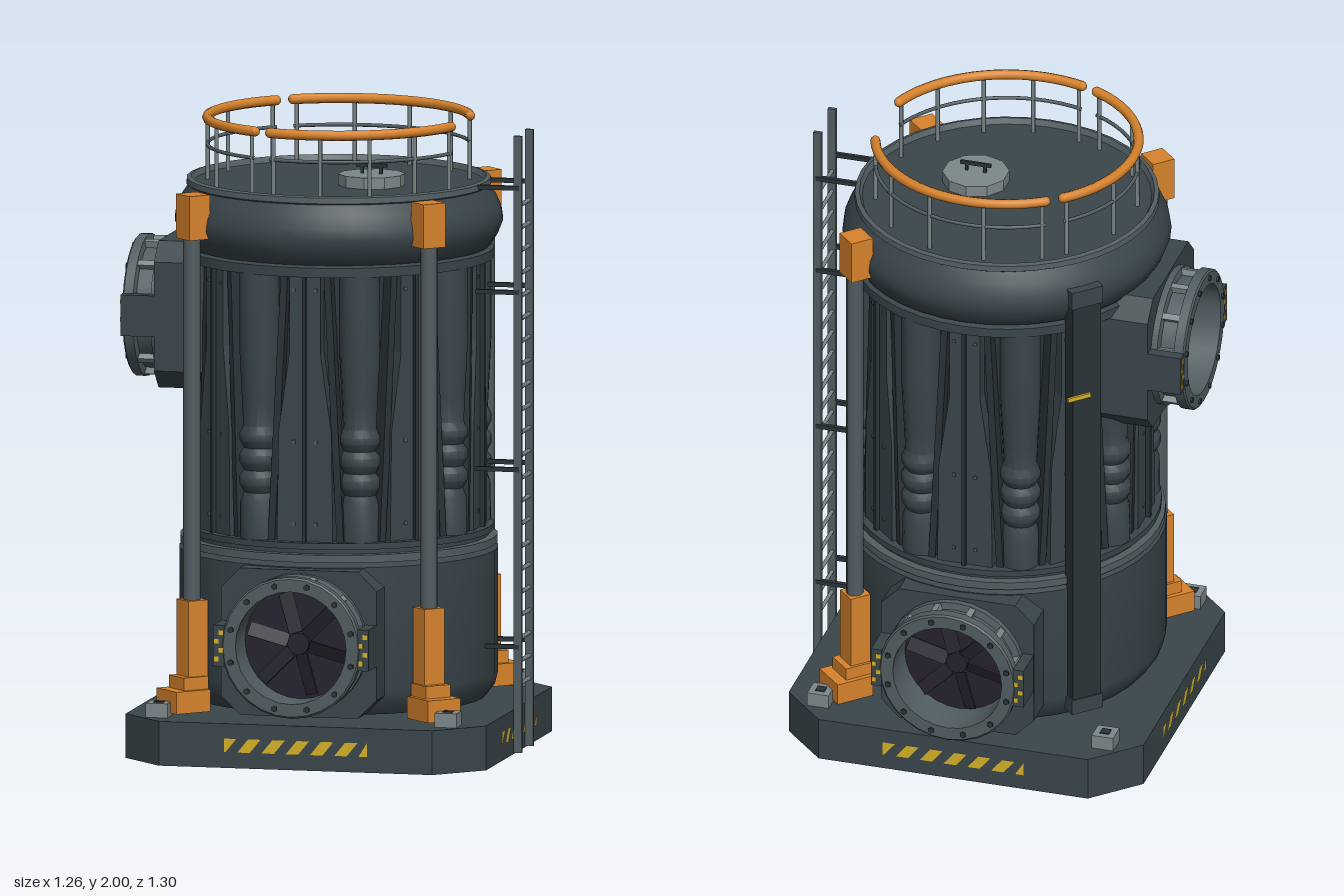
import * as THREE from 'three';
import { toCreasedNormals } from 'three/addons/utils/BufferGeometryUtils.js';

const mat = (name, color, side = THREE.FrontSide) => {
  const m = new THREE.MeshStandardMaterial({ color, side });
  m.name = name;
  return m;
};

export function createModel() {
  const steel = mat('dark steel', 0x3a464b);
  const shade = mat('recess steel', 0x2a3337);
  const trim = mat('trim steel', 0x525e62);
  const grey = mat('light grey metal', 0x7d898b);
  const orange = mat('safety orange', 0xd8832c);
  const yellow = mat('hazard yellow', 0xd6b226, THREE.DoubleSide);
  const dark = mat('port interior', 0x25222e, THREE.DoubleSide);

  const model = new THREE.Group();
  model.name = 'tower';
  const body = new THREE.Group();
  body.name = 'body';
  body.position.x = 0.02;
  model.add(body);

  // helpers
  const add = (parent, name, geo, material, x = 0, y = 0, z = 0) => {
    const m = new THREE.Mesh(geo, material);
    m.name = name;
    m.position.set(x, y, z);
    parent.add(m);
    return m;
  };
  const box = (w, h, d) => new THREE.BoxGeometry(w, h, d);
  const cyl = (r, h, n = 8) => new THREE.CylinderGeometry(r, r, h, n);
  const lathe = (pts, n) => toCreasedNormals(
    new THREE.LatheGeometry(pts.map(p => new THREE.Vector2(p[0], p[1])), n), 0.6);
  // group whose local +z points outward; angle 0 = front
  const pivot = (name, angle, y = 0) => {
    const g = new THREE.Group();
    g.name = name;
    g.rotation.y = angle;
    g.position.y = y;
    body.add(g);
    return g;
  };
  const octagon = (w, h, c) => new THREE.Shape([
    [-w + c, -h], [w - c, -h], [w, -h + c], [w, h - c],
    [w - c, h], [-w + c, h], [-w, h - c], [-w, -h + c],
  ].map(p => new THREE.Vector2(p[0], p[1])));

  // base plate
  const plate = new THREE.ExtrudeGeometry(octagon(0.58, 0.58, 0.14), { depth: 0.14, bevelEnabled: false });
  plate.rotateX(-Math.PI / 2);
  add(body, 'basePlate', plate, steel);
  for (const sx of [-1, 1]) for (const sz of [-1, 1]) {
    add(body, 'cornerStud', box(0.07, 0.045, 0.07), grey, sx * 0.465, 0.1625, sz * 0.47);
    add(body, 'studSocket', box(0.03, 0.004, 0.03), shade, sx * 0.465, 0.186, sz * 0.47);
    add(body, 'footPad', box(0.06, 0.004, 0.06), trim, sx * 0.48, 0.0, sz * 0.48).position.y = 0.001;
  }

  // hazard stripes on the four plate edges
  const stripes = [];
  const clampX = v => Math.max(-0.23, Math.min(0.23, v));
  for (let i = 0; i < 7; i++) {
    const x = -0.265 + i * 0.078;
    stripes.push(new THREE.Shape([[x, 0.05], [x + 0.04, 0.05], [x + 0.075, 0.093], [x + 0.035, 0.093]]
      .map(p => new THREE.Vector2(clampX(p[0]), p[1]))));
  }
  const stripeGeo = new THREE.ShapeGeometry(stripes);
  for (let k = 0; k < 4; k++) {
    add(pivot('hazardSide', k * Math.PI / 2), 'hazardStripes', stripeGeo, yellow, 0, 0, 0.582);
  }

  // main vessel
  add(body, 'lowerDrum', lathe([[0, 0.16], [0.46, 0.16], [0.49, 0.2], [0.5, 0.24], [0.5, 0.63],
    [0.47, 0.645], [0.47, 0.7], [0.4, 0.7]], 40), steel);
  add(body, 'lowerCollar', lathe([[0.46, 0.645], [0.497, 0.645], [0.497, 0.67], [0.46, 0.67]], 40), trim);
  add(body, 'collarLip', lathe([[0.46, 0.685], [0.485, 0.685], [0.485, 0.705], [0.4, 0.705]], 40), steel);
  add(body, 'core', lathe([[0.41, 0.69], [0.41, 1.57]], 32), shade);
  add(body, 'upperCollar', lathe([[0.4, 1.545], [0.485, 1.545], [0.485, 1.575], [0.46, 1.585]], 40), steel);
  add(body, 'cap', lathe([[0.46, 1.575], [0.475, 1.585], [0.5, 1.625], [0.515, 1.665], [0.51, 1.7],
    [0.492, 1.74], [0.468, 1.775]], 40), steel);
  add(body, 'capRim', lathe([[0.465, 1.77], [0.478, 1.778], [0.476, 1.796], [0.462, 1.8], [0.45, 1.775]], 40), trim);
  add(body, 'deck', lathe([[0.465, 1.782], [0, 1.782]], 40), steel);

  // fluted middle: ringed pipes alternating with tapered panels
  const pipeGeo = lathe([[0.062, 0.7], [0.06, 0.82], [0.05, 0.85], [0.064, 0.875], [0.064, 0.9], [0.05, 0.92],
    [0.064, 0.945], [0.064, 0.97], [0.05, 0.99], [0.064, 1.015], [0.064, 1.035], [0.052, 1.06],
    [0.056, 1.14], [0.064, 1.3], [0.064, 1.56]], 14);
  const panelGeo = new THREE.ExtrudeGeometry(new THREE.Shape([[-0.09, 0.7], [0.09, 0.7], [0.085, 1.05],
    [0.05, 1.3], [0.05, 1.55], [-0.05, 1.55], [-0.05, 1.3], [-0.085, 1.05]]
    .map(p => new THREE.Vector2(p[0], p[1]))), { depth: 0.08, bevelEnabled: false });
  const sideRib = box(0.022, 0.86, 0.09);
  for (let k = 0; k < 8; k++) {
    const a = k * Math.PI / 4;
    add(pivot('pipeBay', a + Math.PI / 8), 'ringedPipe', pipeGeo, steel, 0, 0, 0.42);
    const bay = pivot('panelBay', a);
    add(bay, 'taperedPanel', panelGeo, steel, 0, 0, 0.375);
    add(bay, 'panelSeam', box(0.012, 0.85, 0.02), shade, 0, 1.125, 0.46);
    for (const s of [-1, 1]) {
      const rib = add(bay, 'slantedRib', sideRib, shade, s * 0.09, 1.125, 0.4);
      rib.rotation.z = s * 0.05;
      for (const y of [0.76, 1.02, 1.5]) add(bay, 'panelBolt', box(0.01, 0.01, 0.006), trim, s * 0.035, y, 0.456);
    }
  }

  // large flanged ports
  const housingShape = octagon(0.25, 0.232, 0.06);
  housingShape.holes.push(new THREE.Path().absarc(0, 0, 0.185, 0, Math.PI * 2, true));
  const housingGeo = new THREE.ExtrudeGeometry(housingShape, { depth: 0.23, bevelEnabled: false, curveSegments: 16 });
  const flangeGeo = lathe([[0.215, 0.525], [0.222, 0.53], [0.222, 0.555], [0.2, 0.56], [0.2, 0.605], [0.224, 0.61],
    [0.224, 0.64], [0.218, 0.645], [0.178, 0.645], [0.178, 0.505]], 28);
  flangeGeo.rotateX(Math.PI / 2);
  const boltGeo = cyl(0.01, 0.008, 6).rotateX(Math.PI / 2);
  const port = (angle, y) => {
    const g = pivot('port', angle, y);
    add(g, 'portHousing', housingGeo, steel, 0, 0, 0.305);
    add(g, 'portFlange', flangeGeo, trim);
    add(g, 'portInterior', new THREE.CircleGeometry(0.182, 28), dark, 0, 0, 0.515);
    add(g, 'portHub', cyl(0.035, 0.03, 12).rotateX(Math.PI / 2), dark, 0, 0, 0.53);
    for (let i = 0; i < 12; i++) {
      const a = (i + 0.5) * Math.PI / 6, c = Math.cos(a), s = Math.sin(a);
      add(g, 'flangeBolt', boltGeo, shade, c * 0.2, s * 0.2, 0.647);
      add(g, 'flangeRib', box(0.022, 0.02, 0.06), grey, c * 0.208, s * 0.208, 0.58).rotation.z = a;
      if (i % 2) {
        const blade = add(g, 'fanBlade', box(0.13, 0.045, 0.005), dark, c * 0.1, s * 0.1, 0.535);
        blade.rotation.set(0.4, 0, a, 'ZXY');
      }
    }
    for (const s of [-1, 1]) {
      add(g, 'warningBracket', box(0.035, 0.13, 0.11), steel, s * 0.232, 0, 0.588);
      for (let i = 0; i < 4; i++) {
        add(g, 'warningMark', box(0.014, 0.015, 0.003), yellow,
          s * 0.232 + (i % 2 ? 0.007 : -0.007), -0.042 + i * 0.028, 0.644);
      }
    }
  };
  port(0, 0.395);
  port(Math.PI, 0.395);
  port(-Math.PI / 2, 1.37);

  // corner posts
  for (const a of [1, 3, -1]) {
    const g = pivot('cornerPost', a * Math.PI / 4);
    add(g, 'postFoot', box(0.12, 0.07, 0.125), orange, 0, 0.185, 0.57);
    add(g, 'postLowerBracket', box(0.072, 0.32, 0.07), orange, 0, 0.34, 0.538);
    add(g, 'postGusset', box(0.09, 0.06, 0.09), orange, 0, 0.23, 0.55);
    add(g, 'postRod', cyl(0.027, 1.2, 10), trim, 0, 1.07, 0.54);
    add(g, 'postUpperBracket', box(0.08, 0.14, 0.075), orange, 0, 1.71, 0.535);
  }

  // cable duct on the remaining corner
  const duct = pivot('cableDuct', -Math.PI * 0.75);
  add(duct, 'ductCover', box(0.1, 1.46, 0.05), shade, 0, 0.95, 0.505);
  add(duct, 'ductTop', box(0.11, 0.06, 0.06), steel, 0, 1.68, 0.505);
  add(duct, 'ductBase', box(0.11, 0.05, 0.06), steel, 0, 0.22, 0.505);
  add(duct, 'ductClip', box(0.08, 0.014, 0.008), yellow, -0.03, 1.33, 0.534);

  // ladder
  const ladder = pivot('ladder', Math.PI / 2);
  for (const s of [-1, 1]) {
    add(ladder, 'ladderRail', box(0.012, 1.95, 0.026), trim, s * 0.078, 0.98, 0.595);
    for (const y of [0.34, 0.9, 1.46, 1.79]) {
      add(ladder, 'ladderStandoff', box(0.014, 0.014, 0.14), shade, s * 0.08, y, 0.53);
    }
  }
  const rungGeo = cyl(0.007, 0.15, 6).rotateZ(Math.PI / 2);
  for (let i = 0; i < 22; i++) add(ladder, 'ladderRung', rungGeo, grey, 0, 0.22 + i * 0.072, 0.595);

  // deck handrail in three arcs
  const arc = (r, tube, a0, a1) => new THREE.TorusGeometry(r, tube, 8, 20, a1 - a0).rotateZ(a0).rotateX(Math.PI / 2);
  for (const [d0, d1] of [[18, 108], [116, 228], [236, 342]]) {
    const a0 = THREE.MathUtils.degToRad(d0), a1 = THREE.MathUtils.degToRad(d1);
    add(body, 'handrail', arc(0.412, 0.016, a0, a1), orange, 0, 1.984, 0);
    add(body, 'midRail', arc(0.412, 0.006, a0, a1), trim, 0, 1.9, 0);
    for (let i = 0; i < 5; i++) {
      const a = a0 + 0.03 + (a1 - a0 - 0.06) * i / 4;
      add(body, 'railPost', cyl(0.007, 0.2, 6), grey, Math.cos(a) * 0.412, 1.88, Math.sin(a) * 0.412);
    }
    for (const a of [a0, a1]) {
      add(body, 'handrailEnd', new THREE.SphereGeometry(0.0158, 8, 6), orange, Math.cos(a) * 0.412, 1.984, Math.sin(a) * 0.412);
    }
  }

  // deck hatch
  const hatch = new THREE.Group();
  hatch.name = 'hatch';
  hatch.position.set(0.12, 1.782, 0.06);
  body.add(hatch);
  add(hatch, 'hatchLid', toCreasedNormals(cyl(0.105, 0.036, 10), 0.5), grey, 0, 0.018, 0);
  add(hatch, 'hatchHandle', box(0.1, 0.012, 0.008), shade, 0, 0.062, 0);
  for (const s of [-1, 1]) add(hatch, 'hatchHandleLeg', box(0.01, 0.03, 0.008), shade, s * 0.03, 0.045, 0);

  return model;
}
